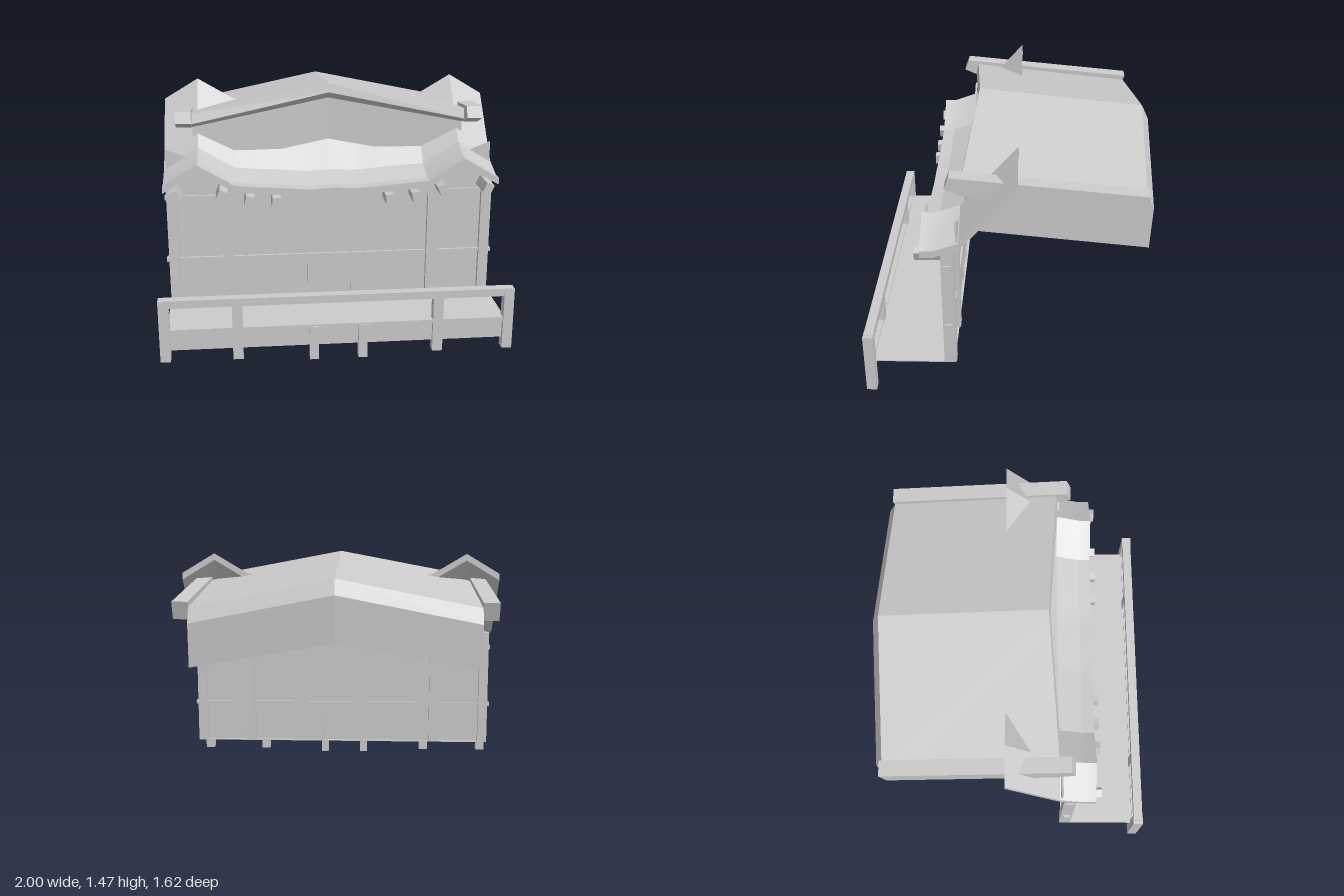
import * as THREE from 'three';
import { toCreasedNormals } from 'three/addons/utils/BufferGeometryUtils.js';

const material = new THREE.MeshStandardMaterial({ color: 0xcccccc, side: THREE.DoubleSide });

// Solid joined from closed rings stacked along +x; each ring is {x, pts: [[z, y], ...]},
// running front-bottom, back-bottom, back-top, front-top.
function loft(rings, crease) {
  const pos = [];
  const n = rings[0].pts.length;
  const put = (r, j) => pos.push(r.x, r.pts[j % n][1], r.pts[j % n][0]);
  for (let i = 0; i < rings.length - 1; i++) {
    const a = rings[i], b = rings[i + 1];
    for (let j = 0; j < n; j++) {
      put(a, j); put(a, j + 1); put(b, j + 1);
      put(a, j); put(b, j + 1); put(b, j);
    }
  }
  const cap = (r, flip) => {
    const contour = r.pts.map(([z, y]) => new THREE.Vector2(-z, y));
    for (const t of THREE.ShapeUtils.triangulateShape(contour, [])) {
      for (const j of flip ? [t[2], t[1], t[0]] : t) put(r, j);
    }
  };
  cap(rings[0], true);
  cap(rings[rings.length - 1], false);
  const geo = new THREE.BufferGeometry();
  geo.setAttribute('position', new THREE.Float32BufferAttribute(pos, 3));
  return toCreasedNormals(geo, crease);
}

function add(parent, name, geo) {
  const mesh = new THREE.Mesh(geo, material);
  mesh.name = name;
  parent.add(mesh);
  return mesh;
}

// Box given by its limits on each axis
function box(parent, name, x0, x1, y0, y1, z0, z1) {
  const mesh = add(parent, name, new THREE.BoxGeometry(x1 - x0, y1 - y0, z1 - z0));
  mesh.position.set((x0 + x1) / 2, (y0 + y1) / 2, (z0 + z1) / 2);
  return mesh;
}

function mirroredBox(parent, name, x0, x1, ...rest) {
  box(parent, name, x0, x1, ...rest);
  box(parent, name, -x1, -x0, ...rest);
}

// Height of the wavy eave across the width: [x, y]
const halfWave = [[0, 0.91], [0.13, 0.902], [0.22, 0.908], [0.3, 0.915], [0.43, 0.924], [0.56, 0.935], [0.77, 1.06], [0.97, 0.94]];
const wave = [...halfWave.slice(1).reverse().map(([x, y]) => [-x, y]), ...halfWave];

export function createModel() {
  const model = new THREE.Group();
  model.name = 'pavilion';

  // Main roof: gabled body, tilted back, with bowed front and rear
  const centre = [[0.15, 1.12], [-0.8, 1.02], [-0.81, 1.28], [-0.77, 1.365], [0.19, 1.465], [0.2, 1.41], [0.15, 1.37]];
  const side = [[0.2, 0.97], [-0.76, 0.875], [-0.77, 1.12], [-0.73, 1.205], [0.245, 1.31], [0.26, 1.25], [0.2, 1.22]];
  add(model, 'mainRoof', loft([{ x: -0.8, pts: side }, { x: 0, pts: centre }, { x: 0.8, pts: side }], 0.05));

  // Beams along the sides of the main roof, with cut-back front ends
  const beam = [[0.335, 1.27], [0.23, 1.225], [-0.705, 1.135], [-0.74, 1.235], [0.31, 1.335]];
  for (const x of [-0.89, 0.8]) {
    add(model, 'roofEdgeBeam', loft([{ x, pts: beam }, { x: x + 0.09, pts: beam }], 0.05));
  }

  // Wavy front roof, sweeping up through the main roof
  const sweep = [[0.47, 0], [0.4, 0], [0.26, 0.05], [-0.05, 0.4]];
  const thickness = 0.04;
  add(model, 'frontRoof', loft(wave.map(([x, y]) => ({
    x,
    pts: [
      ...sweep.map(([z, dy]) => [z, y + dy - thickness]),
      ...sweep.map(([z, dy]) => [z, y + dy]).reverse(),
    ],
  })), 0.3));

  // Small corner fins standing on the front roof
  for (const s of [-1, 1]) {
    const fin = new THREE.Shape([[0.83, 1.06], [0.96, 0.97], [0.96, 1.11]].map(([x, y]) => new THREE.Vector2(s * x, y)));
    add(model, 'cornerFin', new THREE.ExtrudeGeometry(fin, { depth: 0.012, bevelEnabled: false })).position.z = 0.265;
  }

  // Rafter ends below the eave: x, y, tilt, back z
  for (const [x, y, tilt, z0] of [[0.903, 0.887, -0.4, 0.31], [0.637, 0.887, 0.4, 0.31], [0.482, 0.85, 0.2, 0.35], [0.328, 0.838, 0.1, 0.35]]) {
    for (const s of [-1, 1]) {
      const rafter = box(model, 'rafterEnd', s * x - 0.024, s * x + 0.024, y - 0.03, y + 0.03, z0, 0.505);
      rafter.rotation.z = s * tilt;
    }
  }

  // Wall panel, its top following the wavy roof
  const wall = new THREE.Shape();
  wall.moveTo(-0.94, 0.2);
  wall.lineTo(0.94, 0.2);
  wall.lineTo(0.94, 0.935);
  for (const [x, y] of wave.slice(1, -1).reverse()) wall.lineTo(x, y - 0.02);
  wall.lineTo(-0.94, 0.935);
  add(model, 'wallPanel', new THREE.ExtrudeGeometry(wall, { depth: 0.016, bevelEnabled: false })).position.z = 0.317;

  // Wall posts, rails and door posts
  mirroredBox(model, 'cornerPost', 0.9, 0.96, 0.2, 0.93, 0.29, 0.36);
  mirroredBox(model, 'innerPost', 0.577, 0.64, 0.2, 0.92, 0.29, 0.36);
  mirroredBox(model, 'upperRail', 0.61, 0.97, 0.822, 0.845, 0.305, 0.347);
  box(model, 'lintel', -0.6, 0.6, 0.8, 0.87, 0.3, 0.35);
  box(model, 'middleRail', -0.975, 0.975, 0.44, 0.462, 0.305, 0.347);
  mirroredBox(model, 'doorPost', 0.12, 0.14, 0.2, 0.44, 0.308, 0.343);

  // Porch floor and its front skirt
  box(model, 'porchFloor', -0.96, 0.96, 0.194, 0.2, 0.3, 0.78);
  box(model, 'porchSkirt', -0.96, 0.96, 0.08, 0.195, 0.772, 0.784);

  // Railing
  box(model, 'handrail', -0.98, 0.98, 0.343, 0.388, 0.752, 0.806);
  box(model, 'lowerRail', -0.96, 0.96, 0.185, 0.21, 0.76, 0.798);
  mirroredBox(model, 'railingEndPost', 0.943, 1, 0.02, 0.386, 0.75, 0.808);
  mirroredBox(model, 'railingPost', 0.537, 0.595, 0.02, 0.345, 0.752, 0.806);
  mirroredBox(model, 'porchFoot', 0.113, 0.163, 0, 0.2, 0.75, 0.808);

  return model;
}
